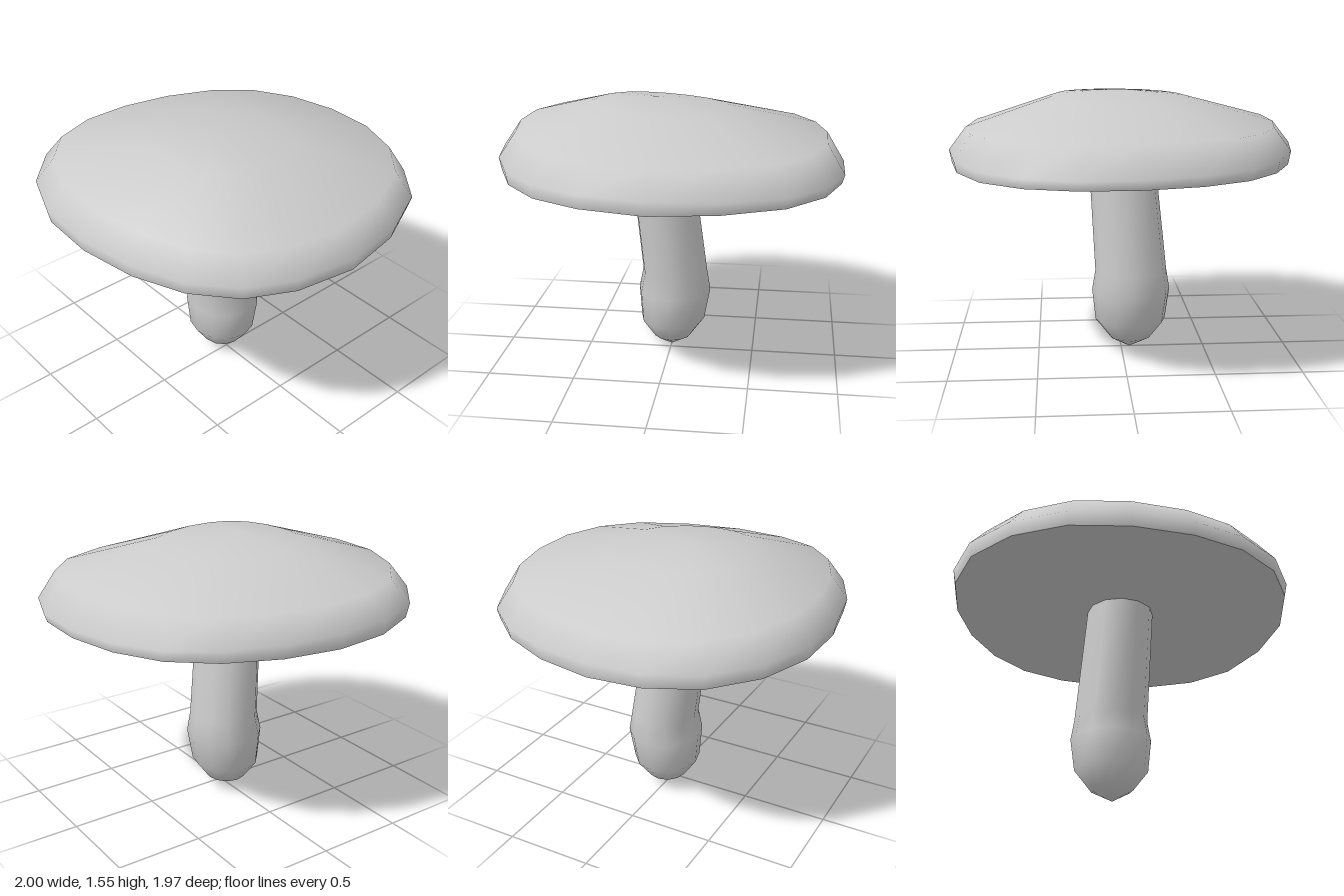
import * as THREE from 'three';
import { mergeVertices } from 'three/addons/utils/BufferGeometryUtils.js';

// Smooth skin over rings of equal point count, ordered from the bottom up
function loft(rings) {
  const n = rings[0].length;
  const index = [];
  for (let r = 0; r < rings.length - 1; r++) {
    for (let i = 0; i < n; i++) {
      const j = (i + 1) % n;
      const a = r * n + i, b = r * n + j, c = a + n, d = b + n;
      index.push(a, c, b, b, c, d);
    }
  }
  let geometry = new THREE.BufferGeometry();
  geometry.setAttribute('position', new THREE.Float32BufferAttribute(rings.flat(2), 3));
  geometry.setIndex(index);
  geometry = mergeVertices(geometry);
  geometry.computeVertexNormals();
  return geometry;
}

// Uneven rim of the cap, as x, z
const RIM = [
  [-0.05, -0.99], [0.27, -0.985], [0.55, -0.89], [0.78, -0.69], [0.93, -0.37],
  [0.995, 0], [0.95, 0.35], [0.83, 0.61], [0.62, 0.8], [0.34, 0.92],
  [0, 0.98], [-0.34, 0.965], [-0.64, 0.85], [-0.87, 0.64], [-0.985, 0.36],
  [-1, 0.05], [-0.94, -0.27], [-0.81, -0.56], [-0.62, -0.78], [-0.36, -0.92],
];

// Scaled copy of the rim, its height given by a function of x and z
const capRing = (scale, height, shiftZ = 0) => RIM.map(([x, z]) => {
  const px = x * scale, pz = z * scale + shiftZ;
  return [px, height(px, pz), pz];
});

// Elliptical stem ring from its extents in x and z
function stemRing([y, x0, x1, z0, z1]) {
  return Array.from({ length: 12 }, (_, i) => {
    const a = (i / 12) * Math.PI * 2;
    return [
      (x0 + x1) / 2 + ((x1 - x0) / 2) * Math.cos(a),
      y,
      (z0 + z1) / 2 + ((z1 - z0) / 2) * Math.sin(a),
    ];
  });
}

export function createModel() {
  const group = new THREE.Group();
  const material = new THREE.MeshStandardMaterial({ color: 0xcccccc, side: THREE.DoubleSide });
  const add = (name, geometry) => {
    const mesh = new THREE.Mesh(geometry, material);
    mesh.name = name;
    group.add(mesh);
  };

  // Domed cap with a rolled edge, its front rim lifted a little
  const lip = capRing(0.985, (x, z) => 1.15 - 0.006 * x + 0.035 * Math.max(0, z));
  add('cap', loft([
    lip,
    capRing(1, (x, z) => 1.23 - 0.01 * x + 0.03 * z),
    capRing(0.9, (x, z) => 1.358 - 0.008 * x + 0.02 * z + 0.03 * z * z),
    capRing(0.4, (x, z) => 1.508 + 0.02 * x + 0.045 * z, 0.05),
    capRing(0, () => 1.555, 0.09),
  ]));

  // Shallow underside
  add('capUnderside', loft([capRing(0, () => 1.165, 0.05), lip]));

  // Stem, swollen towards a blunt tip
  add('stem', loft([
    [0, -0.05, -0.05, 0, 0],
    [0.07, -0.18, 0.07, -0.12, 0.11],
    [0.18, -0.265, 0.155, -0.2, 0.185],
    [0.37, -0.29, 0.175, -0.235, 0.2],
    [0.49, -0.27, 0.155, -0.215, 0.175],
    [1.2, -0.2, 0.19, -0.125, 0.24],
  ].map(stemRing)));

  return group;
}
